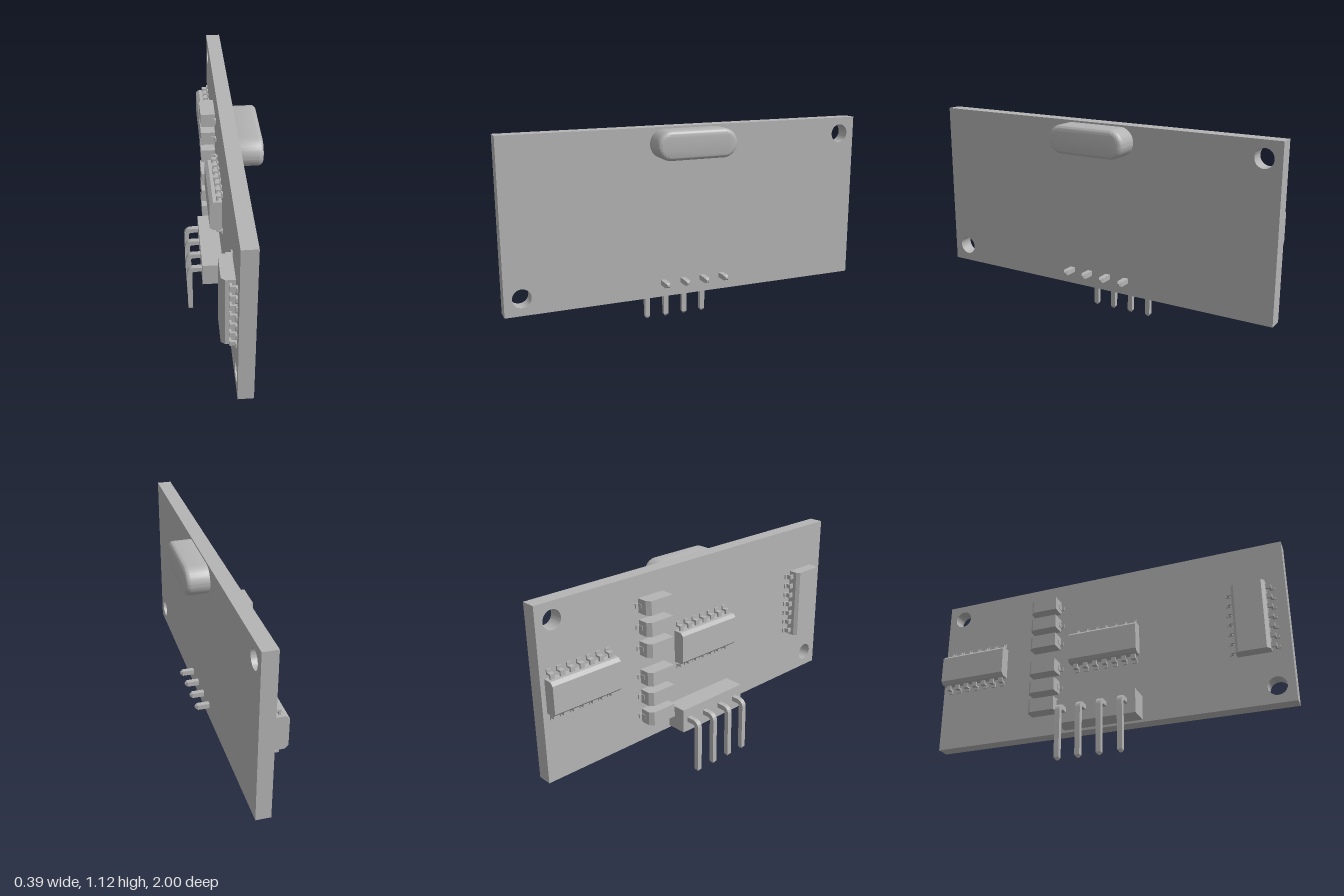
import * as THREE from 'three';
import { toCreasedNormals } from 'three/addons/utils/BufferGeometryUtils.js';

const FACE = -0.003;   // component side of the board
const BACK = 0.074;    // crystal side of the board

export function createModel() {
  const model = new THREE.Group();
  model.name = 'circuitBoardModule';
  const grey = new THREE.MeshStandardMaterial({ color: 0xb4b4b4 });
  grey.name = 'plainGrey';

  const add = (parent, name, geometry) => {
    const mesh = new THREE.Mesh(geometry, grey);
    mesh.name = name;
    parent.add(mesh);
    return mesh;
  };
  const polygon = (points) => new THREE.Shape(points.map(([x, y]) => new THREE.Vector2(x, y)));
  // Prism centred on its extrusion axis
  const prism = (shape, length, curveSegments = 12) =>
    new THREE.ExtrudeGeometry(shape, { depth: length, bevelEnabled: false, curveSegments })
      .translate(0, 0, -length / 2);

  // Board with two mounting holes (shape x runs along -z)
  const outline = polygon([[-1, 0.212], [1, 0.212], [1, 1.118], [-1, 1.118]]);
  for (const [x, y] of [[0.91, 1.03], [-0.91, 0.303]]) {
    outline.holes.push(new THREE.Path().absarc(x, y, 0.049, 0, Math.PI * 2, true));
  }
  const board = prism(outline, BACK - FACE, 24).rotateY(Math.PI / 2);
  add(model, 'board', toCreasedNormals(board, 0.6)).position.x = (FACE + BACK) / 2;

  // Crystal can: a rounded stadium standing on the board
  const bevel = 0.024, r = 0.0755 - bevel, half = 0.145;
  const stadium = new THREE.Shape();
  stadium.absarc(half, 0, r, -Math.PI / 2, Math.PI / 2, false);
  stadium.absarc(-half, 0, r, Math.PI / 2, Math.PI * 1.5, false);
  const can = new THREE.ExtrudeGeometry(stadium, {
    depth: 0.194 - BACK - bevel, bevelThickness: bevel, bevelSize: bevel,
    bevelSegments: 6, curveSegments: 20,
  }).rotateY(Math.PI / 2);
  add(model, 'crystalCan', toCreasedNormals(can, 0.6)).position.set(BACK, 1.033, 0.002);

  // Pin header block
  add(model, 'headerBlock', new THREE.BoxGeometry(0.112, 0.131, 0.438))
    .position.set(FACE - 0.056, 0.2905, -0.006);

  // Right-angle header pins with tapered tips
  const w = 0.027, tip = 0.013;
  const left = -0.195, top = 0.306, low = tip, right = 0.152 - tip;
  const bend = new THREE.Shape();
  bend.moveTo(left, low);
  bend.lineTo(left + w, low);
  bend.lineTo(left + w, top - 0.039);
  bend.absarc(left + 0.039, top - 0.039, 0.012, Math.PI, Math.PI / 2, true);
  bend.lineTo(right, top - w);
  bend.lineTo(right, top);
  bend.lineTo(left + 0.039, top);
  bend.absarc(left + 0.039, top - 0.039, 0.039, Math.PI / 2, Math.PI, false);
  const pinGeometry = toCreasedNormals(prism(bend, w), 0.6);
  const tipGeometry = new THREE.CylinderGeometry(w * 0.25, w * Math.SQRT1_2, tip, 4)
    .rotateY(Math.PI / 4).toNonIndexed();
  tipGeometry.computeVertexNormals();
  for (const z of [0.156, 0.043, -0.07, -0.183]) {
    const pin = new THREE.Group();
    pin.name = 'headerPin';
    pin.position.z = z;
    model.add(pin);
    add(pin, 'pinShaft', pinGeometry);
    const lower = add(pin, 'lowerTip', tipGeometry);
    lower.position.set(left + w / 2, tip / 2, 0);
    lower.rotation.z = Math.PI;
    const through = add(pin, 'solderTip', tipGeometry);
    through.position.set(right + tip / 2, top - w / 2, 0);
    through.rotation.z = -Math.PI / 2;
  }

  // Parts on the board face: local y points away from the board, local z along the part
  const mount = (name, y, z, upright) => {
    const part = new THREE.Group();
    part.name = name;
    const out = new THREE.Vector3(-1, 0, 0);
    const up = new THREE.Vector3(0, 1, 0), side = new THREE.Vector3(0, 0, 1);
    part.quaternion.setFromRotationMatrix(upright
      ? new THREE.Matrix4().makeBasis(side.clone().negate(), out, up)
      : new THREE.Matrix4().makeBasis(up, out, side));
    part.position.set(FACE, y, z);
    model.add(part);
    return part;
  };
  // Bent lead reaching from the body wall to a foot on the board
  const lead = (wall, reach, width) => prism(polygon([
    [wall - 0.01, 0.024], [reach - 0.025, 0.024], [reach - 0.025, 0], [reach, 0],
    [reach, 0.008], [reach - 0.015, 0.008], [reach - 0.015, 0.034], [wall - 0.01, 0.034],
  ]), width);

  // Fourteen-lead chips
  const chipBody = prism(polygon([
    [-0.088, 0.006], [0.088, 0.006], [0.088, 0.052], [0.072, 0.07], [-0.072, 0.07], [-0.088, 0.052],
  ]), 0.39);
  const chipLead = lead(0.088, 0.13, 0.025);
  for (const [y, z, upright] of [[0.675, -0.785, false], [0.679, 0.01, false], [0.679, 0.815, true]]) {
    const chip = mount('chip', y, z, upright);
    add(chip, 'chipBody', chipBody);
    for (let i = -3; i <= 3; i++) {
      for (const turn of [0, Math.PI]) {
        const leg = add(chip, 'chipLead', chipLead);
        leg.position.z = i * 0.0557;
        leg.rotation.y = turn;
      }
    }
  }

  // Column of diodes, chamfered at one end
  const diodeBody = prism(polygon([
    [-0.079, 0.005], [0.079, 0.005], [0.079, 0.06], [0.06, 0.082], [-0.079, 0.082],
  ]), 0.075);
  const diodeLead = lead(0.075, 0.097, 0.024);
  for (const y of [0.967, 0.855, 0.742, 0.586, 0.474, 0.362]) {
    const diode = mount('diode', y, -0.339, true);
    add(diode, 'diodeBody', diodeBody);
    add(diode, 'diodeLead', diodeLead);
    add(diode, 'diodeLead', diodeLead).rotation.y = Math.PI;
  }

  return model;
}
